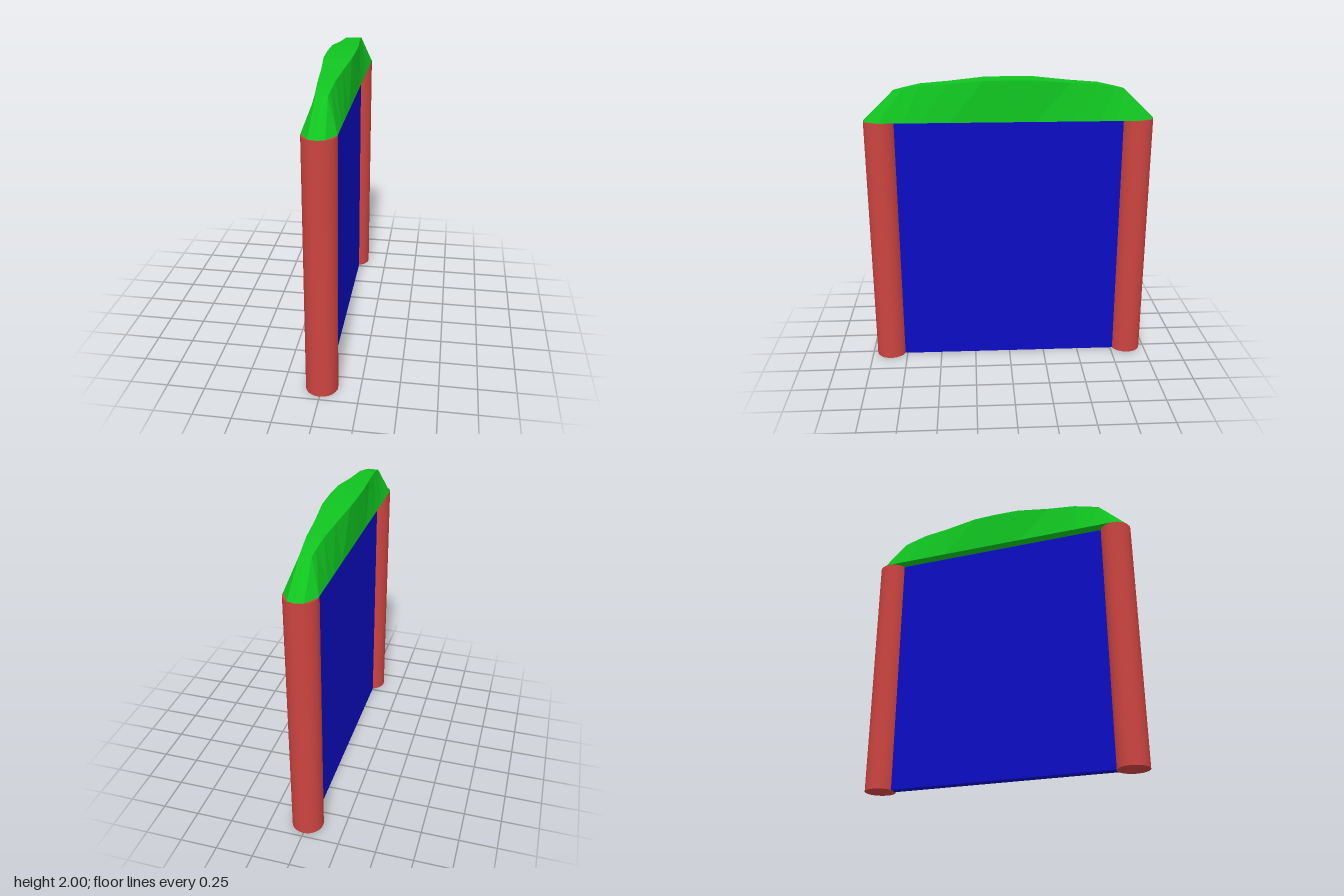
import * as THREE from 'three';

const HEIGHT = 1.73;   // top of the posts and panel
const RADIUS = 0.105;  // post radius, also half the cap width
const POST_Z = 0.865;

function addMesh(group, name, geometry, color, flatShading = false) {
  const mesh = new THREE.Mesh(geometry, new THREE.MeshStandardMaterial({ color, flatShading }));
  mesh.name = name;
  group.add(mesh);
  return mesh;
}

// Cap lofted from four-cornered sections: wide base, narrow top that swells mid-span
function capGeometry() {
  // [base z, base half width, top z, top half width, top y]
  const half = [
    [0.97, 0, 0.765, 0, 1.925],
    [0.957, 0.05, 0.765, 0.036, 1.925],
    [0.865, RADIUS, 0.765, 0.036, 1.925],
    [0.7, RADIUS, 0.7, 0.042, 1.941],
    [0.59, RADIUS, 0.59, 0.052, 1.964],
    [0.4, RADIUS, 0.4, 0.066, 1.977],
    [0.17, RADIUS, 0.17, 0.09, 1.998],
  ];
  const back = half.map(([bz, bx, tz, tx, y]) => [-bz, bx, -tz, tx, y]).reverse();
  const middle = [0, RADIUS, 0, 0.093, 2];
  const sections = [...half, middle, ...back].map(([bz, bx, tz, tx, y]) => [
    new THREE.Vector3(bx, HEIGHT, bz),
    new THREE.Vector3(tx, y, tz),
    new THREE.Vector3(-tx, y, tz),
    new THREE.Vector3(-bx, HEIGHT, bz),
  ]);

  const points = [];
  const addTriangle = (a, b, c) => {
    if (new THREE.Triangle(a, b, c).getArea() > 1e-6) points.push(a, b, c);
  };
  for (let i = 0; i < sections.length - 1; i++) {
    const s = sections[i], t = sections[i + 1];
    for (let k = 0; k < 4; k++) {
      const n = (k + 1) % 4;
      addTriangle(s[k], t[k], t[n]);
      addTriangle(s[k], t[n], s[n]);
    }
  }
  const geometry = new THREE.BufferGeometry().setFromPoints(points);
  geometry.computeVertexNormals();
  return geometry;
}

export function createModel() {
  const group = new THREE.Group();
  group.name = 'wallSection';

  // Round posts at both ends
  for (const [name, side] of [['frontPost', 1], ['backPost', -1]]) {
    const post = addMesh(group, name, new THREE.CylinderGeometry(RADIUS, RADIUS, HEIGHT, 32), 0xcc4440);
    post.position.set(0, HEIGHT / 2, side * POST_Z);
  }

  // Thin panel running between the posts
  const panel = addMesh(group, 'panel', new THREE.BoxGeometry(0.07, HEIGHT, 2 * POST_Z - 0.19), 0x0c0cc4);
  panel.position.y = HEIGHT / 2;

  // Faceted coping on top
  addMesh(group, 'cap', capGeometry(), 0x10c420, true);
  return group;
}
